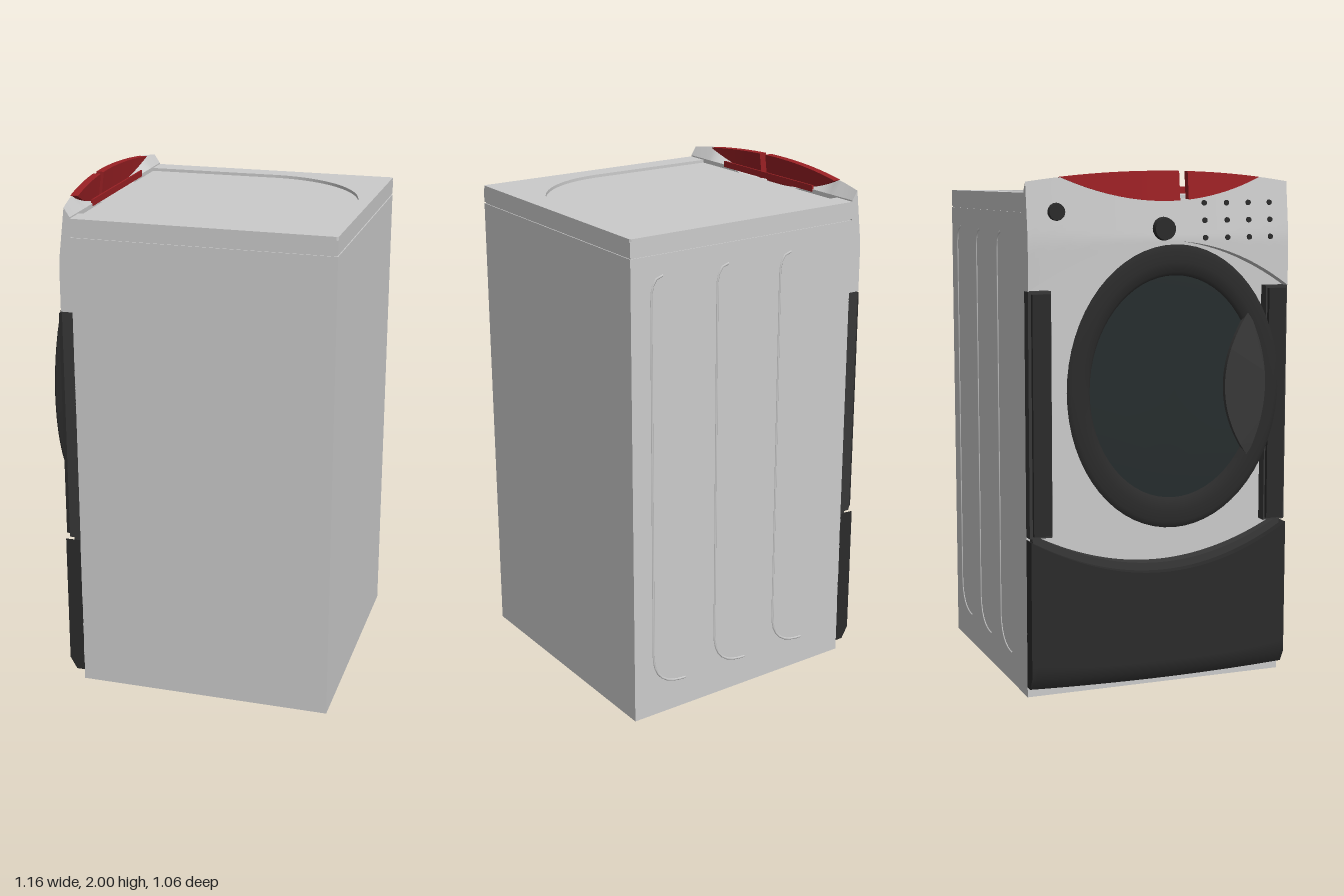
import * as THREE from 'three';

const mat = (color = 0xcccccc) => new THREE.MeshStandardMaterial({ color });
const GREY = mat(), DARK = mat(0x2b2b2b), CHARCOAL = mat(0x383838), RED = mat(0x9a2024), GLASS = mat(0x262d2e);

export function createModel() {
  const model = new THREE.Group();
  const add = (name, geometry, material, x = 0, y = 0, z = 0) => {
    const mesh = new THREE.Mesh(geometry, material);
    mesh.name = name;
    mesh.position.set(x, y, z);
    model.add(mesh);
    return mesh;
  };
  const box = (name, m, x0, x1, y0, y1, z0, z1) =>
    add(name, new THREE.BoxGeometry(x1 - x0, y1 - y0, z1 - z0), m, (x0 + x1) / 2, (y0 + y1) / 2, (z0 + z1) / 2);

  // Box spanning z0..z1 whose bottom, top, front (-x) and back follow functions
  const slab = (name, m, z0, z1, bottom, top, front, back) => {
    const g = new THREE.BoxGeometry(1, 1, 1, 1, 12, 48), p = g.attributes.position;
    for (let i = 0; i < p.count; i++) {
      const d = p.getX(i) + 0.5, v = p.getY(i) + 0.5;
      const z = z0 + (z1 - z0) * (p.getZ(i) + 0.5);
      const y = bottom(z) + (top(z, d) - bottom(z)) * v;
      const f = front(z, y);
      p.setXYZ(i, f + (back(z, y) - f) * d, y, z);
    }
    g.computeVertexNormals();
    return add(name, g, m);
  };
  const bow = (z) => 1 - (z / 0.53) ** 2;

  // Cabinet with a narrow seam below the lid
  box('cabinet', GREY, -0.435, 0.577, 0, 1.848, -0.53, 0.53);
  box('lidSeam', GREY, -0.43, 0.573, 1.848, 1.854, -0.526, 0.526);
  box('lidBase', GREY, -0.435, 0.577, 1.854, 1.908, -0.53, 0.53);

  // Lid rim around a shallow D-shaped recess
  const rim = new THREE.Shape();
  rim.moveTo(-0.435, -0.53).lineTo(0.57, -0.53).lineTo(0.577, -0.523).lineTo(0.577, 0.523);
  rim.lineTo(0.57, 0.53).lineTo(-0.435, 0.53).lineTo(-0.435, 0.44).lineTo(0.1, 0.445);
  rim.absellipse(0.1, 0, 0.43, 0.445, Math.PI / 2, -Math.PI / 2, true);
  rim.lineTo(-0.435, -0.44);
  const rimGeo = new THREE.ExtrudeGeometry(rim, { depth: 0.012, bevelEnabled: false, curveSegments: 48 });
  rimGeo.rotateX(Math.PI / 2);
  add('lidRim', rimGeo, GREY, 0, 1.92, 0);

  // Pressed ribs on one side wall
  for (const x of [0.49, 0.2, -0.09]) {
    const path = new THREE.CurvePath();
    const p = (dx, y) => new THREE.Vector3(x - dx, y, -0.529);
    path.add(new THREE.QuadraticBezierCurve3(p(0.05, 1.77), p(0, 1.77), p(0, 1.69)));
    path.add(new THREE.LineCurve3(p(0, 1.69), p(0, 0.26)));
    path.add(new THREE.QuadraticBezierCurve3(p(0, 0.26), p(0, 0.12), p(0.15, 0.12)));
    add('sideRib', new THREE.TubeGeometry(path, 60, 0.005, 6), GREY);
  }

  // Control panel: bowed, arched below, with a lens-shaped cut along the top
  const panelTop = (z) => 2.0 - 0.04 * (z / 0.53) ** 2;
  const lensBottom = (z) => panelTop(z) - 0.11 * Math.max(0, 1 - (z / 0.4) ** 2);
  const panelFront = (z, y) => -0.482 - 0.045 * bow(z) + 0.12 * Math.max(0, y - 1.75);
  slab('controlPanel', GREY, -0.53, 0.53,
    (z) => 1.56 + 0.18 * bow(z),
    (z, d) => lensBottom(z) - d * Math.max(0, lensBottom(z) - 1.925),
    panelFront, () => -0.434);

  // Red trim filling the lens, split by a tapered slot
  const trim = (z0, z1) => slab('trim', RED, z0, z1,
    (z) => lensBottom(z) - 0.002, panelTop,
    (z, y) => panelFront(z, y) - 0.005, (z, y) => panelFront(z, y) + 0.026);
  trim(-0.4, 0.06);
  trim(0.095, 0.4);
  box('trimBackStrip', RED, -0.439, -0.432, 1.915, 1.94, -0.29, 0.29);

  // Knob and buttons
  const button = (name, y, z, r, h, m) => {
    const g = new THREE.CylinderGeometry(r * 0.9, r, h, 24);
    g.rotateZ(Math.PI / 2);
    add(name, g, m, panelFront(z, y) - h / 2 + 0.004, y, z);
  };
  button('knob', 1.785, -0.01, 0.045, 0.026, DARK);
  button('powerButton', 1.85, -0.42, 0.034, 0.014, DARK);
  for (let i = 0; i < 4; i++)
    for (let j = 0; j < 3; j++) button('button', 1.75 + j * 0.065, 0.16 + i * 0.095, 0.011, 0.01, DARK);

  // Dark columns beside the door
  for (const s of [-1, 1]) {
    box('sideColumn', CHARCOAL, -0.478, -0.434, 0.63, 1.56, s * 0.485 - 0.045, s * 0.485 + 0.045);
    box('columnFace', DARK, -0.495, -0.478, 0.64, 1.55, s * 0.482 - 0.036, s * 0.482 + 0.036);
  }

  // Bowed lower panel with a scooped top and recessed lip
  const scoop = (z) => 0.62 - 0.15 * bow(z);
  slab('lowerPanel', DARK, -0.53, 0.53, () => 0.04, scoop,
    (z, y) => -0.495 - 0.035 * bow(z) + Math.max(0, 0.08 - y) * 0.7, () => -0.434);
  slab('lowerPanelLip', CHARCOAL, -0.515, 0.515, (z) => scoop(z) - 0.01, (z) => scoop(z) + 0.03,
    (z) => -0.465 - 0.025 * bow(z), () => -0.434);

  // Oval door: unit profiles turned about the x axis and stretched
  const oval = (name, points, m) => {
    const g = new THREE.LatheGeometry(points.map(([r, h]) => new THREE.Vector2(r, h)), 64);
    g.rotateZ(Math.PI / 2);
    g.scale(1, 0.54, 0.4325);
    add(name, g, m, 0, 1.188, 0.028);
  };
  oval('doorBarrel', [[0.84, 0.434], [0.84, 0.54]], CHARCOAL);
  oval('doorFlangeBack', [[0.83, 0.532], [0.995, 0.543]], DARK);
  oval('doorRing', [[0.995, 0.543], [1, 0.547], [0.96, 0.554], [0.88, 0.557], [0.81, 0.553], [0.78, 0.535]], DARK);
  oval('doorGlass', [[0.8, 0.538], [0.5, 0.544], [0, 0.547]], GLASS);
  DARK.side = THREE.DoubleSide;

  // Crescent handle, tilted outward and curved along its height
  const crescent = new THREE.Shape();
  crescent.moveTo(0.33, -0.28).quadraticCurveTo(0.47, 0, 0.33, 0.28).quadraticCurveTo(0.11, 0, 0.33, -0.28);
  const handle = new THREE.ExtrudeGeometry(crescent, { depth: 0.02, bevelEnabled: false, curveSegments: 24 });
  handle.rotateY(-Math.PI / 2);
  const hp = handle.attributes.position;
  for (let i = 0; i < hp.count; i++)
    hp.setX(i, hp.getX(i) - 0.563 + (hp.getZ(i) - 0.22) * 0.12 + 0.015 * (hp.getY(i) / 0.28) ** 2);
  handle.computeVertexNormals();
  add('doorHandle', handle, CHARCOAL, 0, 1.19, 0);

  return model;
}
